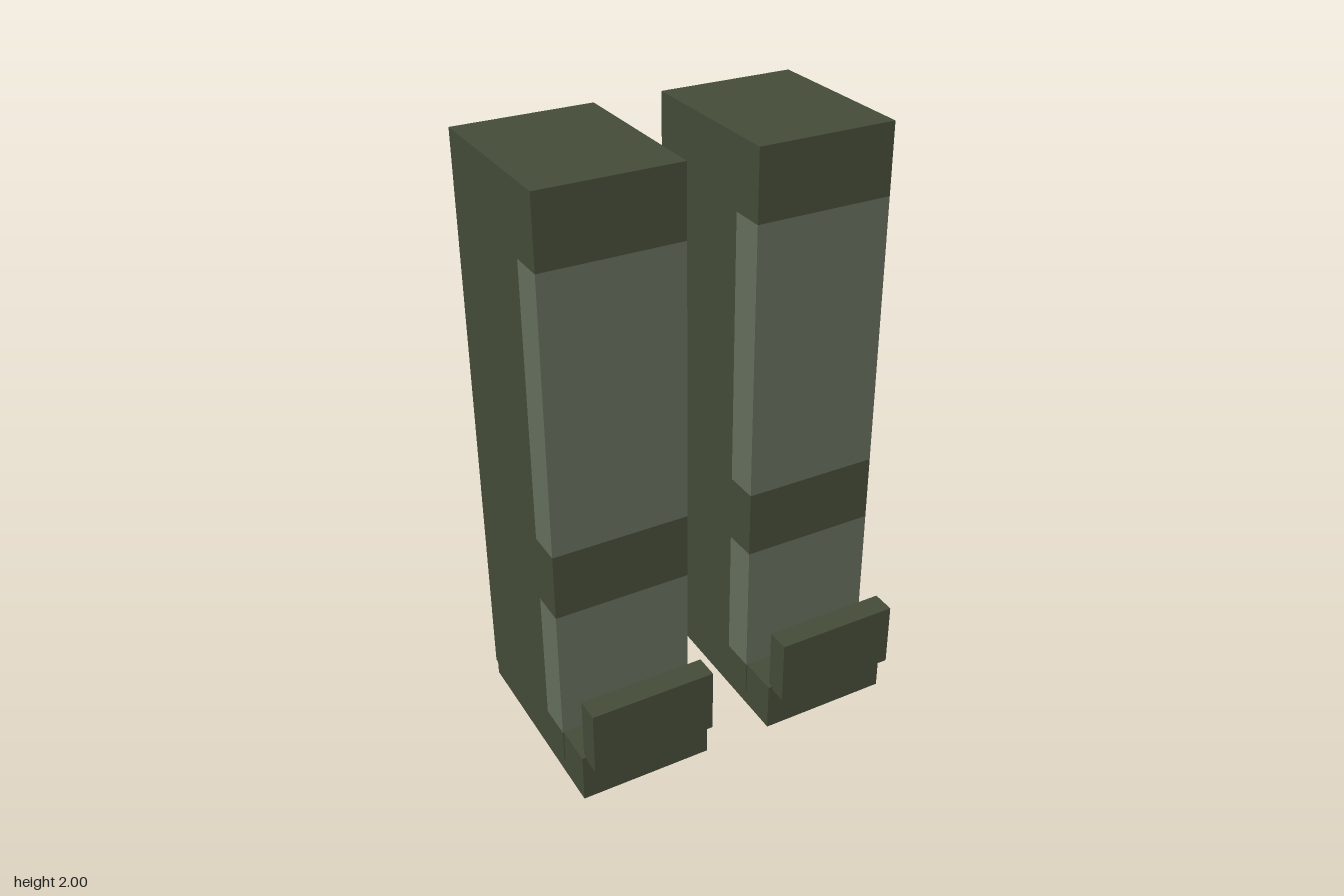
import * as THREE from 'three';

const olive = new THREE.MeshStandardMaterial({ name: 'darkOlive', color: 0x454c38 });
const sage = new THREE.MeshStandardMaterial({ name: 'greySage', color: 0x656f5d });

// Box from its lower and upper limits on each axis
function block(name, material, [x0, x1], [y0, y1], [z0, z1]) {
  const mesh = new THREE.Mesh(new THREE.BoxGeometry(x1 - x0, y1 - y0, z1 - z0), material);
  mesh.name = name;
  mesh.position.set((x0 + x1) / 2, (y0 + y1) / 2, (z0 + z1) / 2);
  return mesh;
}

function createLeg(name, side) {
  const leg = new THREE.Group();
  leg.name = name;
  const width = [-0.2285, 0.2285];

  // Rear body of the leg, running its full height
  leg.add(block('legBody', olive, width, [0.055, 2], [-0.385, 0.07]));

  // Front bands, flush with the body and wrapping round both sides
  const bands = [
    ['ankleBand', olive, 0.055, 0.17],
    ['shinPanel', sage, 0.17, 0.63],
    ['kneeBand', olive, 0.63, 0.855],
    ['thighPanel', sage, 0.855, 1.77],
    ['hipBand', olive, 1.77, 2],
  ];
  for (const [band, material, y0, y1] of bands) {
    leg.add(block(band, material, width, [y0, y1], [0.07, 0.187]));
  }

  // Foot and the upright plate at its toe
  leg.add(block('foot', olive, [-0.225, 0.225], [0, 0.17], [-0.38, 0.325]));
  leg.add(block('toePlate', olive, [-0.21, 0.21], [0.157, 0.38], [0.305, 0.385]));

  leg.position.x = side * 0.3425;
  return leg;
}

export function createModel() {
  const model = new THREE.Group();
  model.name = 'legs';
  model.add(createLeg('leftLeg', 1), createLeg('rightLeg', -1));
  return model;
}
